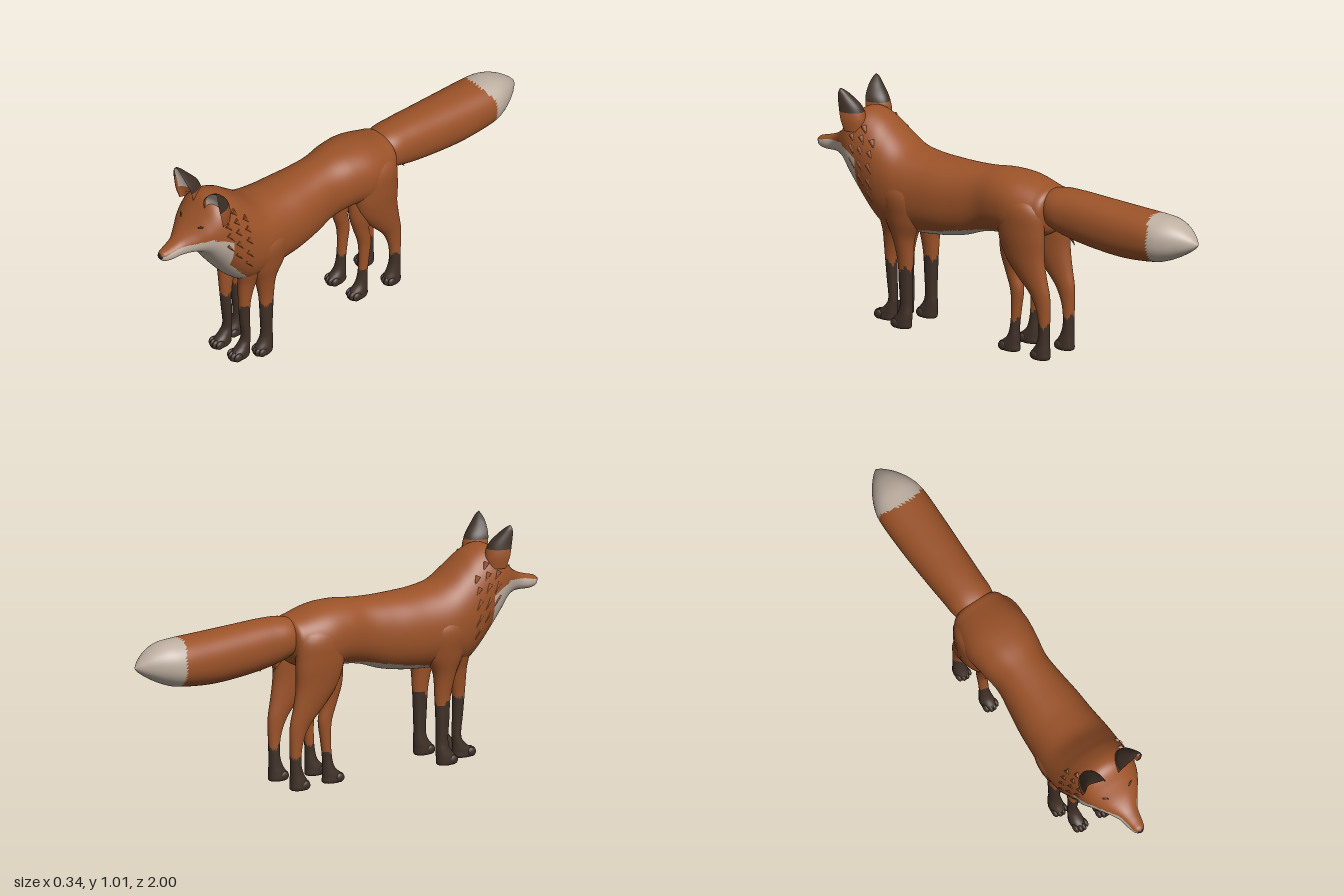
import * as THREE from 'three';

const flat = (name, color) => {
  const m = new THREE.MeshStandardMaterial({ color });
  m.name = name;
  return m;
};
const mats = [flat('russet fur', 0x9c5329), flat('pale fur', 0xbfb0a2), flat('dark brown fur', 0x3f3027), flat('nose black', 0x241c18)];
const RED = 0, PALE = 1, DARK = 2, NOSE = 3;

// Smooth interpolation through rows of numbers; u counts rows
function sample(keys, u) {
  const i = Math.min(Math.floor(u), keys.length - 2), t = u - i;
  const at = (k) => keys[Math.max(0, Math.min(keys.length - 1, k))];
  const [a, b, c, d] = [at(i - 1), at(i), at(i + 1), at(i + 2)];
  return b.map((p, k) => p + 0.5 * t * (c[k] - a[k] + t * (2 * a[k] - 5 * p + 4 * c[k] - d[k] + t * (3 * (p - c[k]) + d[k] - a[k]))));
}

// Closed-ring loft; the rule picks a colour for each facet
function loft(name, keys, ring, steps, sides, rule) {
  const pos = [], buckets = mats.map(() => []);
  for (let i = 0; i <= steps; i++) {
    const k = sample(keys, (i / steps) * (keys.length - 1));
    for (let j = 0; j < sides; j++) pos.push(...ring(k, (j / sides) * Math.PI * 2));
  }
  const mid = (f, n) => (pos[f[0] * 3 + n] + pos[f[1] * 3 + n] + pos[f[2] * 3 + n]) / 3;
  for (let i = 0; i < steps; i++) {
    for (let j = 0; j < sides; j++) {
      const a = i * sides + j, b = i * sides + (j + 1) % sides, c = a + sides, d = b + sides;
      for (const f of [[a, b, c], [b, d, c]]) {
        buckets[rule(mid(f, 0), mid(f, 1), mid(f, 2), (j + 0.5) / sides)].push(...f);
      }
    }
  }
  const g = new THREE.BufferGeometry();
  g.setAttribute('position', new THREE.Float32BufferAttribute(pos, 3));
  g.setIndex(buckets.flat());
  let start = 0;
  buckets.forEach((b, m) => {
    if (b.length) g.addGroup(start, b.length, m);
    start += b.length;
  });
  g.computeVertexNormals();
  const mesh = new THREE.Mesh(g, mats);
  mesh.name = name;
  return mesh;
}

// Ring styles: along z from [z, top, bottom, halfWidth]; along y from [y, x, halfWidth, zFront, zBack]
const soft = (v) => Math.sign(v) * Math.abs(v) ** 0.9;
const zRing = ([z, top, bot, w], a) => [
  Math.max(w, 0) * soft(Math.cos(a)), (top + bot) / 2 + ((top - bot) / 2) * soft(Math.sin(a)), z];
const legRing = (side) => ([y, x, w, zf, zb], a) => [
  side * x + w * Math.cos(a), y, (zf + zb) / 2 - ((zf - zb) / 2) * Math.sin(a)];

const bodyKeys = [
  [-0.26, 0.66, 0.66, 0], [-0.25, 0.73, 0.56, 0.1], [-0.2, 0.75, 0.52, 0.13], [-0.1, 0.775, 0.49, 0.15],
  [0, 0.78, 0.5, 0.14], [0.1, 0.77, 0.485, 0.125], [0.2, 0.765, 0.45, 0.135], [0.3, 0.765, 0.43, 0.148],
  [0.4, 0.77, 0.42, 0.155], [0.5, 0.79, 0.415, 0.163], [0.58, 0.845, 0.41, 0.16], [0.64, 0.89, 0.45, 0.153],
  [0.7, 0.915, 0.52, 0.145], [0.75, 0.905, 0.59, 0.138], [0.8, 0.85, 0.66, 0.115], [0.85, 0.795, 0.685, 0.08],
  [0.9, 0.76, 0.685, 0.047], [0.95, 0.742, 0.682, 0.034], [0.985, 0.732, 0.69, 0.022], [1, 0.712, 0.712, 0],
];
// Pale cheeks, bib and belly
function bodyColour(x, y, z) {
  const cheek = z > 0.7 && y < 0.765 - Math.max(0, z - 0.8) * 0.25 - Math.max(0, 0.8 - z) * 0.4;
  const bib = y < 0.7 && z > 0.71 - 0.5 * (0.68 - y) && Math.abs(x) < 0.115;
  const belly = z > -0.02 && z < 0.6 && y < 0.525 - 0.19 * z && Math.abs(x) < 0.1;
  return cheek || bib || belly ? PALE : RED;
}

const tailKeys = [
  [-1, 0.63, 0.63, 0], [-0.975, 0.66, 0.605, 0.03], [-0.93, 0.695, 0.575, 0.066], [-0.87, 0.72, 0.545, 0.098],
  [-0.8, 0.728, 0.525, 0.114], [-0.65, 0.735, 0.512, 0.113], [-0.5, 0.742, 0.52, 0.107], [-0.36, 0.748, 0.54, 0.1],
  [-0.26, 0.742, 0.57, 0.093], [-0.18, 0.71, 0.61, 0.05], [-0.16, 0.66, 0.66, 0],
];

const legs = {
  frontLeg: { dark: 0.27, toe: [0.058, 0.645], keys: [
    [0.012, 0.058, 0, 0.6, 0.6], [0.014, 0.058, 0.028, 0.645, 0.55], [0.04, 0.058, 0.03, 0.645, 0.545],
    [0.07, 0.058, 0.026, 0.605, 0.545], [0.11, 0.058, 0.022, 0.583, 0.543], [0.2, 0.058, 0.023, 0.592, 0.545],
    [0.3, 0.06, 0.026, 0.6, 0.542], [0.4, 0.065, 0.035, 0.605, 0.515], [0.5, 0.075, 0.05, 0.61, 0.47], [0.6, 0.08, 0, 0.55, 0.55]] },
  shoulderLeg: { dark: 0.27, toe: [0.09, 0.535], keys: [
    [0.002, 0.09, 0, 0.49, 0.49], [0.004, 0.09, 0.028, 0.535, 0.45], [0.035, 0.09, 0.031, 0.535, 0.445],
    [0.07, 0.089, 0.027, 0.51, 0.443], [0.11, 0.088, 0.024, 0.5, 0.445], [0.2, 0.089, 0.025, 0.505, 0.443],
    [0.3, 0.089, 0.028, 0.512, 0.438], [0.4, 0.092, 0.04, 0.535, 0.43], [0.5, 0.1, 0.056, 0.57, 0.39],
    [0.62, 0.105, 0.06, 0.58, 0.39], [0.72, 0.09, 0, 0.48, 0.48]] },
  innerHindLeg: { dark: 0.15, toe: [0.068, -0.015], keys: [
    [0.004, 0.068, 0, -0.06, -0.06], [0.006, 0.068, 0.028, -0.015, -0.105], [0.035, 0.068, 0.03, -0.015, -0.108],
    [0.07, 0.068, 0.025, -0.05, -0.108], [0.12, 0.068, 0.021, -0.065, -0.108], [0.2, 0.068, 0.022, -0.07, -0.118],
    [0.28, 0.068, 0.026, -0.065, -0.128], [0.36, 0.068, 0.032, -0.04, -0.115], [0.45, 0.07, 0.042, -0.015, -0.14],
    [0.56, 0.07, 0.045, -0.02, -0.17], [0.64, 0.07, 0, -0.09, -0.09]] },
  hindLeg: { dark: 0.155, toe: [0.085, -0.195], keys: [
    [0.002, 0.085, 0, -0.235, -0.235], [0.004, 0.085, 0.029, -0.195, -0.275], [0.035, 0.085, 0.031, -0.195, -0.278],
    [0.07, 0.085, 0.027, -0.215, -0.277], [0.12, 0.085, 0.024, -0.228, -0.277], [0.2, 0.086, 0.024, -0.22, -0.28],
    [0.28, 0.087, 0.029, -0.185, -0.28], [0.36, 0.09, 0.039, -0.115, -0.265], [0.45, 0.092, 0.05, -0.05, -0.252],
    [0.56, 0.093, 0.06, -0.02, -0.252], [0.67, 0.09, 0.056, -0.04, -0.235], [0.74, 0.075, 0, -0.13, -0.13]] },
};

// Ears: [x, y, z, halfWidth, depth], rounded behind and hollow in front
const earKeys = [
  [0.09, 0.83, 0.76, 0.048, 0.07], [0.09, 0.88, 0.775, 0.055, 0.085], [0.093, 0.93, 0.785, 0.05, 0.078],
  [0.108, 0.975, 0.792, 0.033, 0.045], [0.12, 1.0, 0.792, 0.016, 0.02], [0.125, 1.012, 0.79, 0, 0],
];
const earRing = (side) => ([x, y, z, w, d], a) => [
  side * x + w * Math.cos(a), y, z - Math.abs(Math.sin(a)) * d * (a > Math.PI ? 0.5 : 1)];
function earColour(x, y, z, v) {
  if (v < 0.5) return y > 0.91 ? DARK : RED;
  if (v < 0.55 || v > 0.95) return y > 0.95 ? DARK : RED;
  return y > 0.885 && y < 0.995 ? PALE : RED;
}

function blob(name, mat, p, s) {
  const m = new THREE.Mesh(new THREE.SphereGeometry(1, 16, 12), mats[mat]);
  m.name = name;
  m.position.set(...p);
  m.scale.set(...s);
  return m;
}

// Pointed lock of fur lying along dir
function tuft(name, p, dir, length) {
  const m = new THREE.Mesh(new THREE.ConeGeometry(0.013, length, 6), mats[RED]);
  m.name = name;
  m.position.set(...p);
  m.quaternion.setFromUnitVectors(new THREE.Vector3(0, 1, 0), new THREE.Vector3(...dir).normalize());
  return m;
}

export function createModel() {
  const fox = new THREE.Group();
  fox.name = 'fox';
  fox.add(loft('body', bodyKeys, zRing, 150, 72, bodyColour));
  fox.add(loft('tail', tailKeys, zRing, 80, 48, (x, y, z) =>
    z < -0.805 + 0.03 * Math.max(0, (y - 0.68) / 0.05) ? PALE : RED));
  fox.add(blob('nose', NOSE, [0, 0.713, 0.984], [0.018, 0.015, 0.016]));

  for (const side of [1, -1]) {
    const label = side > 0 ? 'left' : 'right';
    for (const [name, leg] of Object.entries(legs)) {
      fox.add(loft(`${label} ${name}`, leg.keys, legRing(side), 60, 24, (x, y, z) =>
        y < leg.dark + 0.012 * Math.sin(x * 150 + z * 90) ? DARK : RED));
      // Toes
      const [tx, tz] = leg.toe, base = leg.keys[0][0];
      for (let i = 0; i < 4; i++) {
        const o = i - 1.5;
        fox.add(blob(`${label} ${name} toe`, DARK,
          [side * tx + o * 0.016, base + 0.021, tz - 0.01 - Math.abs(o) * 0.008], [0.011, 0.02, 0.022]));
      }
    }
    fox.add(loft(`${label} ear`, earKeys, earRing(side), 40, 40, earColour));

    // Narrow eye
    const [ex, ey, ez] = zRing(sample(bodyKeys, 14.4), 0.95);
    const eye = blob(`${label} eye`, DARK, [side * ex, ey, ez], [0.014, 0.004, 0.004]);
    eye.rotation.set(0, side * 0.6, side * 0.2);
    fox.add(eye);

    // Shaggy ruff on cheeks and neck
    for (let row = 0; row < 3; row++) {
      for (let i = 0; i < 5; i++) {
        const [x, y, z] = zRing(sample(bodyKeys, 10.6 + row * 0.85), -0.35 + i * 0.24 + row * 0.1);
        fox.add(tuft(`${label} ruff tuft`, [side * (x - 0.004), y, z], [side * 0.22, -0.8, -0.55], 0.055));
      }
    }
    fox.add(tuft(`${label} tail tuft`, [side * 0.02, 0.535, -0.33 - 0.02 * side], [0, -0.8, -0.5], 0.06));
  }
  return fox;
}
